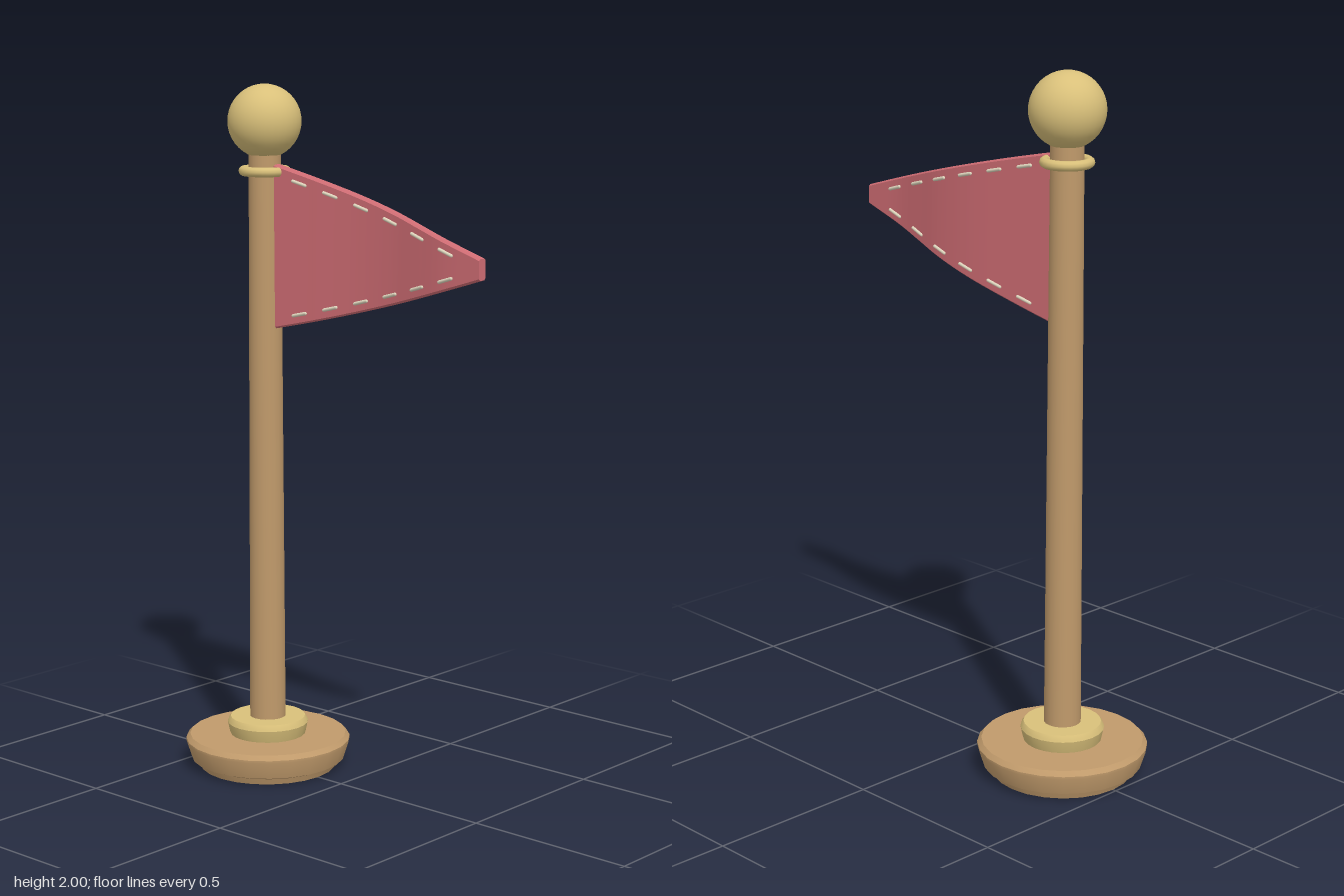
import * as THREE from 'three';
import { toCreasedNormals } from 'three/addons/utils/BufferGeometryUtils.js';

const POLE_X = -0.29;
const X0 = -0.255, X1 = 0.525; // flag hoist and tip
const HALF = 0.014; // half the flag thickness

const mat = (name, color) => {
  const m = new THREE.MeshStandardMaterial({ color });
  m.name = name;
  return m;
};

// Flag outline and ripple
const ripple = new THREE.SplineCurve([
  [-0.26, -0.003], [-0.1, -0.01], [0.06, -0.015], [0.19, -0.007],
  [0.3, 0.012], [0.4, 0.027], [0.53, 0.031],
].map(([x, z]) => new THREE.Vector2(x, z)));
const ripplePts = ripple.getPoints(120);
function waveZ(x) {
  let i = 1;
  while (i < ripplePts.length - 1 && ripplePts[i].x < x) i++;
  const a = ripplePts[i - 1], b = ripplePts[i];
  return a.y + (b.y - a.y) * (x - a.x) / (b.x - a.x);
}
const along = (x) => (x - X0) / (X1 - X0);
const bulge = (t) => 0.04 * t * (1 - t);
const topY = (x) => THREE.MathUtils.lerp(1.778, 1.573, along(x)) + bulge(along(x));
const bottomY = (x) => THREE.MathUtils.lerp(1.306, 1.515, along(x)) - bulge(along(x));

function flagGeometry() {
  const cols = 36;
  const g = new THREE.BoxGeometry(1, 1, 1, cols, 4, 1);
  const p = g.attributes.position;
  for (let i = 0; i < p.count; i++) {
    const u = p.getX(i) + 0.5, v = p.getY(i) + 0.5;
    const x = THREE.MathUtils.lerp(X0, X1, u);
    const hi = topY(x), lo = bottomY(x);
    // Rows next to the border sit close to it, giving a small bevel
    const row = Math.round(v * 4);
    const y = [lo, lo + 0.005, (lo + hi) / 2, hi - 0.005, hi][row];
    const half = row === 0 || row === 4 ? HALF * 0.6 : HALF;
    p.setXYZ(i, x, y, waveZ(x) + Math.sign(p.getZ(i)) * half);
  }
  g.computeVertexNormals();
  return toCreasedNormals(g, 0.4);
}

export function createModel() {
  const model = new THREE.Group();
  model.name = 'pennantOnStand';
  const wood = mat('wood', 0xc09a6b);
  const brass = mat('brass', 0xd9c07a);
  const cloth = mat('redCloth', 0xd06d74);
  const thread = mat('creamThread', 0xe2d9c0);

  const add = (name, geometry, material, x = 0, y = 0, z = 0, parent = model) => {
    const mesh = new THREE.Mesh(geometry, material);
    mesh.name = name;
    mesh.position.set(x, y, z);
    parent.add(mesh);
    return mesh;
  };
  const turned = (points, sides) => toCreasedNormals(
    new THREE.LatheGeometry(points.map(([r, y]) => new THREE.Vector2(r, y)), sides), 0.5);

  // Stand
  add('base', turned([[0, 0], [0.2, 0], [0.207, 0.018], [0.226, 0.026], [0.242, 0.076],
    [0.242, 0.084], [0.23, 0.097], [0, 0.097]], 24), wood, POLE_X);
  add('collar', turned([[0.108, 0.09], [0.112, 0.1], [0.119, 0.132], [0.117, 0.138],
    [0.11, 0.149], [0, 0.149]], 24), brass, POLE_X);

  // Pole and fittings
  add('pole', new THREE.CylinderGeometry(0.046, 0.053, 1.72, 20), wood, POLE_X, 0.96);
  add('finial', new THREE.SphereGeometry(0.105, 32, 20), brass, POLE_X, 1.895);
  add('ring', new THREE.TorusGeometry(0.061, 0.014, 10, 28), brass, POLE_X, 1.755)
    .rotation.x = Math.PI / 2;

  // Flag
  add('flag', flagGeometry(), cloth);

  // Running stitches along both borders, on both faces
  const stitches = new THREE.Group();
  stitches.name = 'stitches';
  model.add(stitches);
  const stitch = new THREE.CapsuleGeometry(0.005, 0.046, 3, 6).rotateZ(Math.PI / 2);
  const d = 0.025;
  for (const [edge, inset] of [[topY, -0.028], [bottomY, 0.028]]) {
    for (let i = 0; i < 6; i++) {
      const x = -0.152 + i * 0.112;
      const dir = new THREE.Vector3(2 * d, edge(x + d) - edge(x - d),
        waveZ(x + d) - waveZ(x - d)).normalize();
      for (const side of [-1, 1]) {
        add('stitch', stitch, thread, x, edge(x) + inset, waveZ(x) + side * (HALF + 0.001), stitches)
          .quaternion.setFromUnitVectors(new THREE.Vector3(1, 0, 0), dir);
      }
    }
  }
  return model;
}
